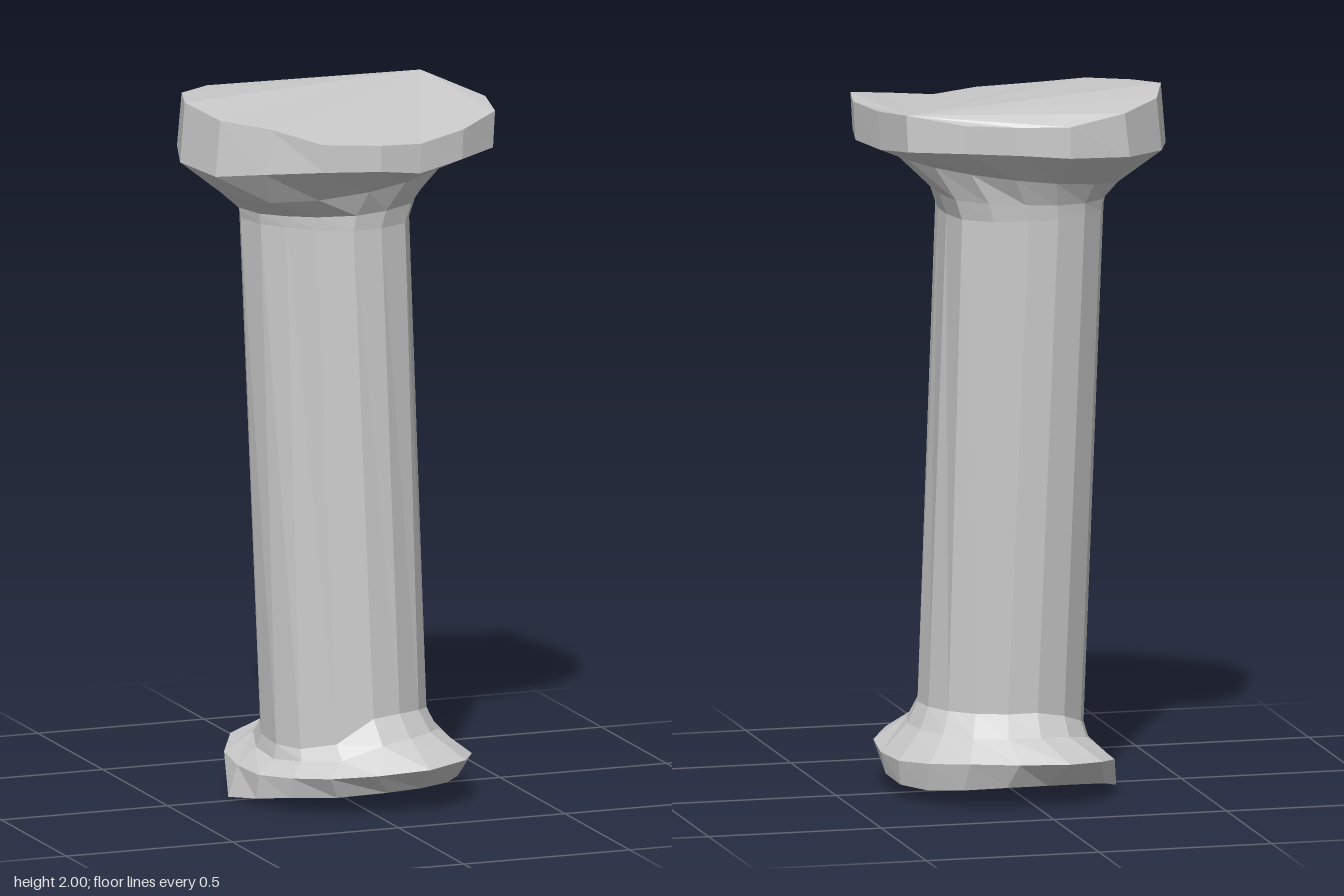
import * as THREE from 'three';

const N = 16;
const material = new THREE.MeshStandardMaterial({ color: 0xcccccc, flatShading: true });

// Uneven outline of the head, [x, z], running from +x towards +z
const outline = [
  [0.44, 0.04], [0.405, 0.205], [0.275, 0.295], [0.13, 0.34], [0, 0.365], [-0.165, 0.34],
  [-0.28, 0.22], [-0.385, 0.11], [-0.425, -0.06], [-0.37, -0.225], [-0.245, -0.35],
  [-0.08, -0.385], [0.06, -0.36], [0.215, -0.345], [0.37, -0.28], [0.41, -0.12],
];
// Widest outline of the base
const baseOutline = [
  [0.36, 0.04], [0.345, 0.18], [0.28, 0.3], [0.14, 0.385], [-0.01, 0.365], [-0.13, 0.31],
  [-0.21, 0.22], [-0.265, 0.1], [-0.275, -0.04], [-0.26, -0.18], [-0.19, -0.31],
  [-0.08, -0.38], [0.06, -0.355], [0.19, -0.305], [0.285, -0.22], [0.345, -0.1],
];
const angles = outline.map(([x, z]) => Math.atan2(z, x));
const round = angles.map(() => 1);
// Radius factors that make the upper shaft lopsided
const lopsided = [1, 1.04, 1.09, 1.04, 1, 0.9, 0.86, 0.93, 1, 1, 1, 1, 1, 1.1, 1.14, 1.04];

// Elliptical ring; y is a number or a list with one height per corner
function ring(cx, cz, rx, rz, y, bulge = round) {
  return angles.map((a, i) => new THREE.Vector3(
    cx + rx * bulge[i] * Math.cos(a), Array.isArray(y) ? y[i] : y,
    cz + rz * bulge[i] * Math.sin(a)));
}

// Ring from an outline and a list of heights
function outlineRing(points, y) {
  return points.map(([x, z], i) => new THREE.Vector3(x, y[i], z));
}

// Skin a stack of rings (bottom to top), with optional fan caps
function loft(name, rings, { top = -1, bottom = -1 } = {}) {
  const pos = [];
  const tri = (...pts) => pts.forEach((p) => pos.push(p.x, p.y, p.z));
  for (let j = 0; j < rings.length - 1; j++) {
    for (let i = 0; i < N; i++) {
      const k = (i + 1) % N, lo = rings[j], hi = rings[j + 1];
      tri(lo[i], hi[i], hi[k]);
      tri(lo[i], hi[k], lo[k]);
    }
  }
  const fan = (r, start, up) => {
    for (let n = 1; n < N - 1; n++) {
      const a = r[(start + n) % N], b = r[(start + n + 1) % N];
      if (up) tri(r[start], b, a);
      else tri(r[start], a, b);
    }
  };
  if (top >= 0) fan(rings[rings.length - 1], top, true);
  if (bottom >= 0) fan(rings[0], bottom, false);
  const geometry = new THREE.BufferGeometry();
  geometry.setAttribute('position', new THREE.Float32BufferAttribute(pos, 3));
  geometry.computeVertexNormals();
  const mesh = new THREE.Mesh(geometry, material);
  mesh.name = name;
  return mesh;
}

export function createModel() {
  const group = new THREE.Group();
  group.name = 'column';

  // Rings shared between neighbouring parts
  const shaftLow = ring(0.02, 0.018, 0.235, 0.238,
    [0.25, 0.25, 0.26, 0.265, 0.26, 0.19, 0.17, 0.17, 0.18, 0.2, 0.23, 0.25, 0.25, 0.25, 0.25, 0.25]);
  const shaftHigh = ring(-0.032, -0.008, 0.234, 0.243, 1.66, lopsided);

  // Base: flat recessed underside, thin worn rim, flare up to the shaft
  const recess = ring(0.06, -0.02, 0.21, 0.2, 0.065);
  const rimLow = ring(0.035, 0, 0.315, 0.32,
    [0.05, 0.05, 0.055, 0.06, 0.06, 0.05, 0.04, 0.02, 0, 0.03, 0.05, 0.06, 0.06, 0.05, 0.04, 0.04]);
  rimLow[8].x = -0.3;
  const rimHigh = outlineRing(baseOutline,
    [0.11, 0.12, 0.13, 0.13, 0.12, 0.11, 0.1, 0.09, 0.09, 0.1, 0.12, 0.13, 0.13, 0.13, 0.12, 0.11]);
  const flare = ring(0.03, 0.01, 0.255, 0.29,
    [0.19, 0.19, 0.2, 0.2, 0.19, 0.15, 0.14, 0.13, 0.14, 0.16, 0.18, 0.19, 0.19, 0.19, 0.19, 0.19]);
  group.add(loft('base', [recess, rimLow, rimHigh, flare, shaftLow], { bottom: 0 }));

  // Slightly leaning shaft
  group.add(loft('shaft', [shaftLow, shaftHigh]));

  // Neck widening into the head
  const neckLow = ring(-0.025, -0.008, 0.247, 0.247,
    angles.map((a) => 1.705 + 0.015 * Math.cos(a)), lopsided);
  const neckHigh = ring(0, -0.005, 0.325, 0.28,
    angles.map((a) => 1.778 + 0.042 * Math.cos(a)));
  const headLow = outlineRing(
    outline.map(([x, z]) => [x < -0.2 ? x - 0.014 : x * 0.985, z]),
    [1.86, 1.86, 1.855, 1.835, 1.855, 1.86, 1.84, 1.82, 1.83, 1.84, 1.85, 1.86, 1.87, 1.88, 1.88, 1.86]);
  const headTop = outlineRing(outline,
    [1.97, 1.965, 1.94, 1.92, 1.93, 1.94, 1.97, 1.98, 2, 1.99, 1.975, 1.95, 1.95, 1.96, 1.985, 1.97]);
  group.add(loft('neck', [shaftHigh, neckLow, neckHigh, headLow]));

  // Head with a top creased from the back right corner
  group.add(loft('head', [headLow, headTop], { top: 14 }));

  return group;
}
